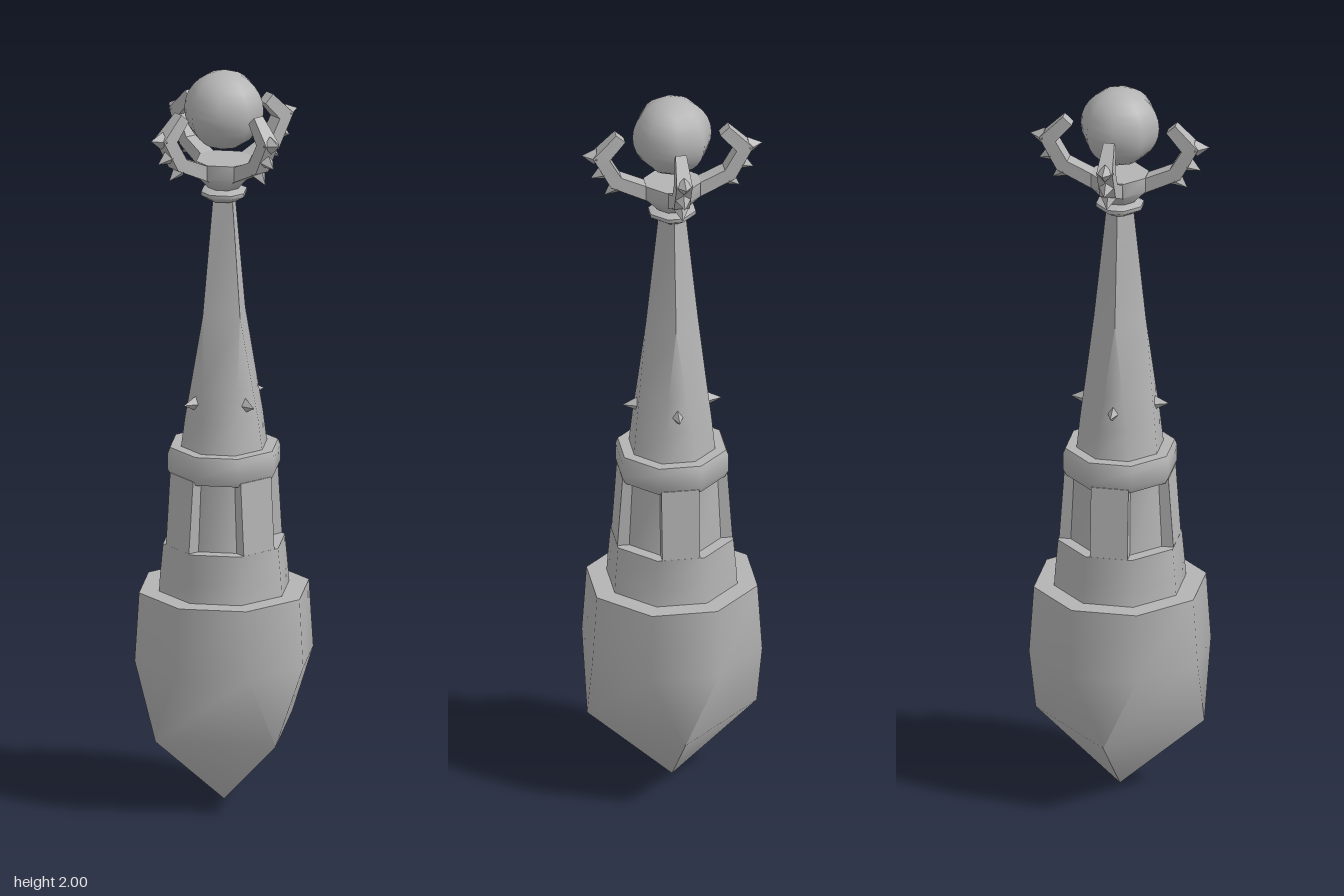
import * as THREE from 'three';
import { toCreasedNormals } from 'three/addons/utils/BufferGeometryUtils.js';

const CREASE = THREE.MathUtils.degToRad(58);

// Eight-cornered ring: flat sides at distance a with half-width w (w = 0 gives a diamond)
const ring = ([y, a, w]) =>
  [[-w, a], [w, a], [a, w], [a, -w], [w, -a], [-w, -a], [-a, -w], [-a, w]]
    .map(([x, z]) => new THREE.Vector3(x, y, z));

// Solid through a stack of rings, listed from bottom to top
function loft(rings) {
  const pos = [];
  const tri = (a, b, c) => {
    const area = b.clone().sub(a).cross(c.clone().sub(a)).length();
    if (area > 1e-9) for (const p of [a, b, c]) pos.push(p.x, p.y, p.z);
  };
  const loops = rings.map(ring);
  const last = rings.length - 1;
  const low = new THREE.Vector3(0, rings[0][0], 0);
  const high = new THREE.Vector3(0, rings[last][0], 0);
  for (let i = 0; i < 8; i++) {
    const j = (i + 1) % 8;
    for (let k = 0; k < last; k++) {
      const [b, t] = [loops[k], loops[k + 1]];
      tri(b[i], b[j], t[j]);
      tri(b[i], t[j], t[i]);
    }
    tri(low, loops[0][j], loops[0][i]);
    tri(high, loops[last][i], loops[last][j]);
  }
  const g = new THREE.BufferGeometry();
  g.setAttribute('position', new THREE.Float32BufferAttribute(pos, 3));
  return toCreasedNormals(g, CREASE);
}

// Four-sided spike from a base point to a tip in the xy plane
function spike(bx, by, tx, ty, radius, squash = 1) {
  const dir = new THREE.Vector3(tx - bx, ty - by, 0);
  const len = dir.length();
  const g = toCreasedNormals(new THREE.ConeGeometry(radius, len, 4), 0.3);
  g.scale(1, 1, squash);
  g.translate(0, len / 2, 0);
  g.applyQuaternion(new THREE.Quaternion().setFromUnitVectors(
    new THREE.Vector3(0, 1, 0), dir.normalize()));
  g.translate(bx, by, 0);
  return g;
}

// Bent claw arm, narrowing toward its tip
function clawArm() {
  const outline = [
    [0.03, 1.69], [0.075, 1.718], [0.165, 1.762], [0.212, 1.85],
    [0.15, 1.912], [0.126, 1.89], [0.168, 1.842], [0.137, 1.788],
    [0.065, 1.755], [0.03, 1.75],
  ].map(([x, y]) => new THREE.Vector2(x, y));
  const g = new THREE.ExtrudeGeometry(new THREE.Shape(outline), { depth: 0.042, bevelEnabled: false });
  g.translate(0, 0, -0.021);
  const p = g.attributes.position;
  for (let i = 0; i < p.count; i++) {
    if (p.getY(i) > 1.87) p.setZ(i, p.getZ(i) * 0.7);
  }
  return toCreasedNormals(g, 0.3);
}

// Leaning pillar: a box whose top is drawn in
function pillarGeometry() {
  const g = new THREE.BoxGeometry(0.06, 0.2, 0.1);
  g.translate(0.123, 0.81, 0);
  const p = g.attributes.position;
  for (let i = 0; i < p.count; i++) {
    if (p.getY(i) > 0.81) p.setX(i, p.getX(i) - 0.014);
  }
  g.computeVertexNormals();
  return g;
}

export function createModel() {
  const model = new THREE.Group();
  model.name = 'spireTower';
  const stone = new THREE.MeshStandardMaterial({ color: 0xb4b4b4 });
  stone.name = 'grey stone';

  const add = (name, geometry, parent = model) => {
    const mesh = new THREE.Mesh(geometry, stone);
    mesh.name = name;
    parent.add(mesh);
    return mesh;
  };

  // Pointed foundation and the stacked tower body
  add('foundation', loft([[0, 0, 0], [0.2, 0.225, 0], [0.4, 0.225, 0.09], [0.585, 0.213, 0.087]]));
  add('lowerCollar', loft([[0.58, 0.163, 0.067], [0.63, 0.16, 0.066], [0.715, 0.153, 0.062]]));
  add('recessedCore', loft([[0.7, 0.122, 0.05], [0.92, 0.114, 0.048]]));
  add('upperCollar', loft([[0.9, 0.132, 0.055], [0.918, 0.141, 0.058], [0.962, 0.141, 0.058], [0.978, 0.135, 0.056]]));

  // Spire turning from an octagon into a diamond
  add('spire', loft([[0.97, 0.108, 0.045], [1.06, 0.1, 0.037], [1.15, 0.09, 0.025],
    [1.34, 0.07, 0], [1.66, 0.036, 0]]));
  add('spireFlange', loft([[1.65, 0.038, 0.012], [1.665, 0.06, 0.02], [1.675, 0.06, 0.02], [1.685, 0.038, 0.015]]));
  add('cradle', loft([[1.68, 0.036, 0.015], [1.72, 0.072, 0.025], [1.76, 0.072, 0.025]]));

  // Orb held by the claws
  add('orb', new THREE.SphereGeometry(0.105, 8, 14)).position.y = 1.895;

  // Pillars, spikes and claws repeated on the four sides
  const pillar = pillarGeometry();
  const towerSpike = spike(0.088, 1.105, 0.132, 1.105, 0.022, 0.75);
  const arm = clawArm();
  const armSpikes = [
    spike(0.203, 1.848, 0.24, 1.853, 0.024),
    spike(0.182, 1.8, 0.216, 1.784, 0.022),
    spike(0.148, 1.757, 0.18, 1.732, 0.022),
  ];
  for (let i = 0; i < 4; i++) {
    const side = new THREE.Group();
    side.name = 'towerSide';
    side.rotation.y = i * Math.PI / 2;
    add('pillar', pillar, side);
    add('towerSpike', towerSpike, side);
    add('clawArm', arm, side);
    for (const g of armSpikes) add('clawSpike', g, side);
    model.add(side);
  }
  return model;
}
